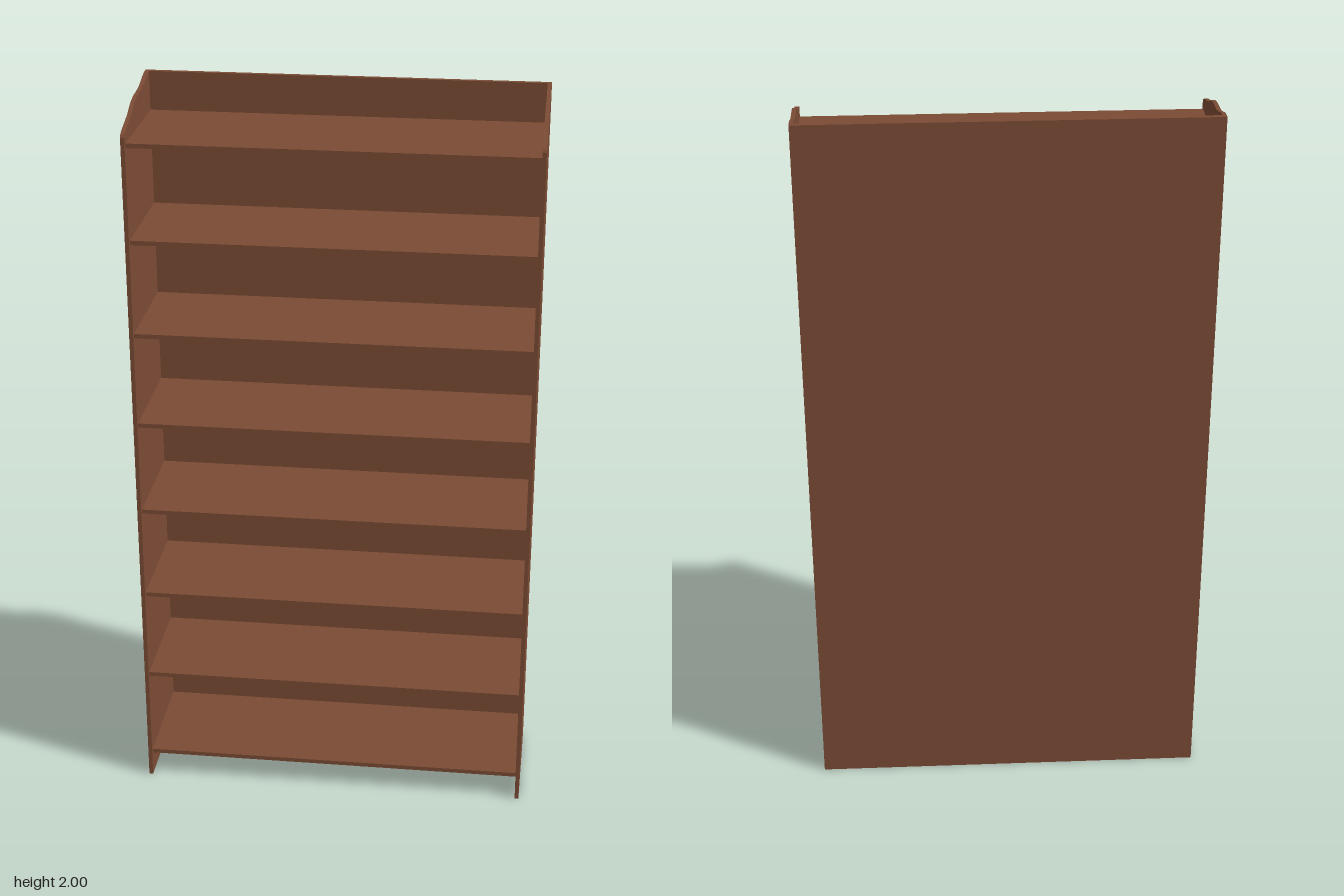
import * as THREE from 'three';

export function createModel() {
  const group = new THREE.Group();
  const wood = new THREE.MeshStandardMaterial({ color: 0x7b4b35 });
  wood.name = 'brown wood';

  const W = 0.537, D = 0.169, T = 0.011, BACK = 0.013;

  function board(name, w, h, d, x, y, z) {
    const mesh = new THREE.Mesh(new THREE.BoxGeometry(w, h, d), wood);
    mesh.name = name;
    mesh.position.set(x, y, z);
    group.add(mesh);
  }

  // Side panels: profile in (z, y) with a wavy top edge, front is +z
  const wave = [
    [D, 1.912], [0.163, 1.92], [0.148, 1.927], [0.11, 1.937], [0.077, 1.946],
    [0.055, 1.957], [0.034, 1.966], [0, 1.974], [-0.035, 1.976], [-0.07, 1.979],
    [-0.1, 1.987], [-0.124, 1.995], [-0.145, 1.999], [-D, 2],
  ];
  const profile = new THREE.Shape();
  profile.moveTo(D, 0);
  wave.forEach(([z, y]) => profile.lineTo(z, y));
  profile.lineTo(-D, 0);
  const sideGeometry = new THREE.ExtrudeGeometry(profile, { depth: T, bevelEnabled: false });
  sideGeometry.rotateY(-Math.PI / 2); // profile x becomes z, thickness runs to -x
  for (const [name, x] of [['leftSide', W], ['rightSide', -W + T]]) {
    const side = new THREE.Mesh(sideGeometry, wood);
    side.name = name;
    side.position.x = x;
    group.add(side);
  }

  // Back panel between the sides
  board('backPanel', 2 * (W - T), 2, BACK, 0, 1, -D + BACK / 2);

  // Eight evenly spaced shelves, set slightly back from the front edge
  const front = 0.159, rear = -D + BACK;
  for (let i = 0; i < 8; i++) {
    board('shelf' + (i + 1), 2 * (W - T), 0.012, front - rear,
      0, 0.073 + i * 0.2594, (front + rear) / 2);
  }

  return group;
}
